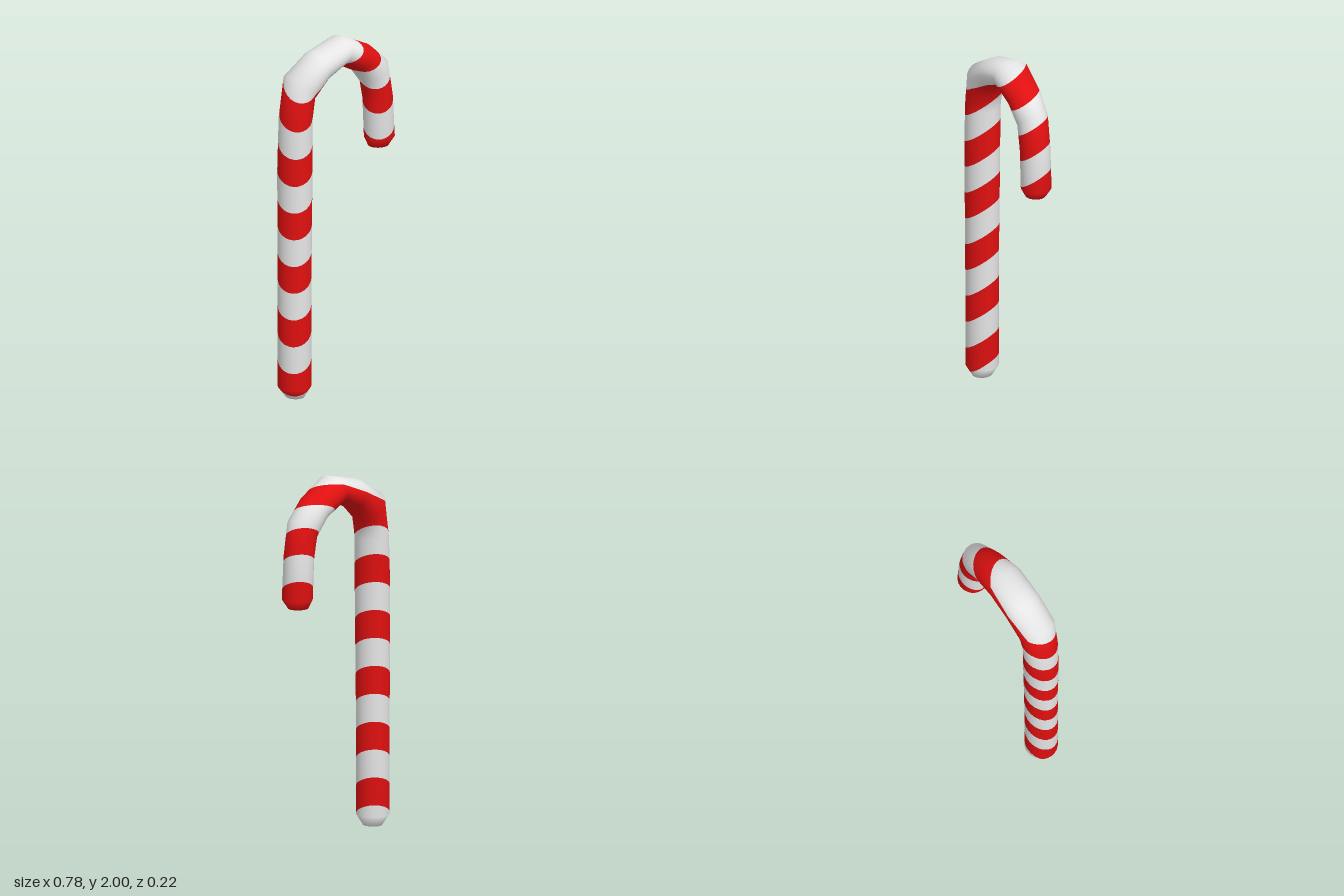
import * as THREE from 'three';

const SIDES = 24;
// Cross-sections along the cane: outer x, y, inner x, y, half depth in z
const RINGS = [
  [-0.345, 0, -0.245, 0, 0.055],
  [-0.39, 0.06, -0.205, 0.06, 0.09],
  [-0.39, 0.6, -0.205, 0.6, 0.09],
  [-0.39, 1.3, -0.2, 1.3, 0.097],
  [-0.375, 1.6, -0.205, 1.6, 0.1],
  [-0.33, 1.85, -0.195, 1.7, 0.107],
  [-0.16, 1.95, -0.11, 1.79, 0.109],
  [0.04, 2.0, 0, 1.845, 0.108],
  [0.22, 1.91, 0.12, 1.78, 0.095],
  [0.34, 1.8, 0.19, 1.685, 0.085],
  [0.375, 1.6, 0.21, 1.58, 0.083],
  [0.39, 1.36, 0.22, 1.36, 0.083],
  [0.355, 1.31, 0.24, 1.31, 0.055],
];

// Smooth bent tube with closed ends
function caneBody() {
  const pos = [], index = [];
  for (const [ox, oy, ix, iy, rz] of RINGS) {
    for (let i = 0; i < SIDES; i++) {
      const a = (i / SIDES) * Math.PI * 2, c = Math.cos(a);
      pos.push((ox + ix + (ox - ix) * c) / 2, (oy + iy + (oy - iy) * c) / 2, rz * Math.sin(a));
    }
  }
  const last = RINGS.length - 1, tip = RINGS.length * SIDES;
  for (const j of [0, last]) {
    const [ox, oy, ix, iy] = RINGS[j];
    pos.push((ox + ix) / 2, (oy + iy) / 2, 0);
  }
  for (let i = 0; i < SIDES; i++) {
    const n = (i + 1) % SIDES;
    for (let j = 0; j < last; j++) {
      const a = j * SIDES + i, b = j * SIDES + n;
      index.push(a, b, b + SIDES, a, b + SIDES, a + SIDES);
    }
    index.push(tip, n, i, tip + 1, last * SIDES + i, last * SIDES + n);
  }
  const geo = new THREE.BufferGeometry();
  geo.setAttribute('position', new THREE.Float32BufferAttribute(pos, 3));
  geo.setIndex(index);
  geo.computeVertexNormals();
  return geo;
}

// Slanted stripe coordinate: whole numbers are stripe borders
const stripeAt = (p) => (p.y - 0.45 * p.x + 0.5 * p.z - 1.905) / 0.155;

// Keep the part of a polygon where sign * (stripe - level) >= 0
function clip(poly, level, sign) {
  const out = [];
  poly.forEach((a, i) => {
    const b = poly[(i + 1) % poly.length];
    const da = sign * (a.s - level), db = sign * (b.s - level);
    if (da >= 0) out.push(a);
    if ((da > 0 && db < 0) || (da < 0 && db > 0)) {
      const t = da / (da - db);
      out.push({ p: a.p.clone().lerp(b.p, t), n: a.n.clone().lerp(b.n, t).normalize(), s: level });
    }
  });
  return out;
}

// Cut the body along the stripe borders into white and red surfaces
function splitStripes(geo) {
  const parts = [0, 1].map(() => ({ pos: [], nor: [] }));
  const { position, normal } = geo.attributes, idx = geo.index;
  for (let t = 0; t < idx.count; t += 3) {
    const tri = [0, 1, 2].map((k) => {
      const v = idx.getX(t + k), p = new THREE.Vector3().fromBufferAttribute(position, v);
      return { p, n: new THREE.Vector3().fromBufferAttribute(normal, v), s: stripeAt(p) };
    });
    const s = tri.map((v) => v.s);
    for (let k = Math.floor(Math.min(...s)); k <= Math.floor(Math.max(...s)); k++) {
      const poly = clip(clip(tri, k, 1), k + 1, -1);
      const part = parts[Math.abs(k) % 2];
      for (let i = 1; i + 1 < poly.length; i++) {
        for (const v of [poly[0], poly[i], poly[i + 1]]) {
          part.pos.push(...v.p.toArray());
          part.nor.push(...v.n.toArray());
        }
      }
    }
  }
  return parts.map(({ pos, nor }) => {
    const g = new THREE.BufferGeometry();
    g.setAttribute('position', new THREE.Float32BufferAttribute(pos, 3));
    g.setAttribute('normal', new THREE.Float32BufferAttribute(nor, 3));
    return g;
  });
}

export function createModel() {
  const white = new THREE.MeshStandardMaterial({ color: 0xe6e6e6 });
  white.name = 'white sugar';
  const red = new THREE.MeshStandardMaterial({ color: 0xe01010 });
  red.name = 'red sugar';

  const [whiteGeo, redGeo] = splitStripes(caneBody());
  const whiteStripes = new THREE.Mesh(whiteGeo, white);
  whiteStripes.name = 'whiteStripes';
  const redStripes = new THREE.Mesh(redGeo, red);
  redStripes.name = 'redStripes';

  const group = new THREE.Group();
  group.name = 'candyCane';
  group.add(whiteStripes, redStripes);
  return group;
}
